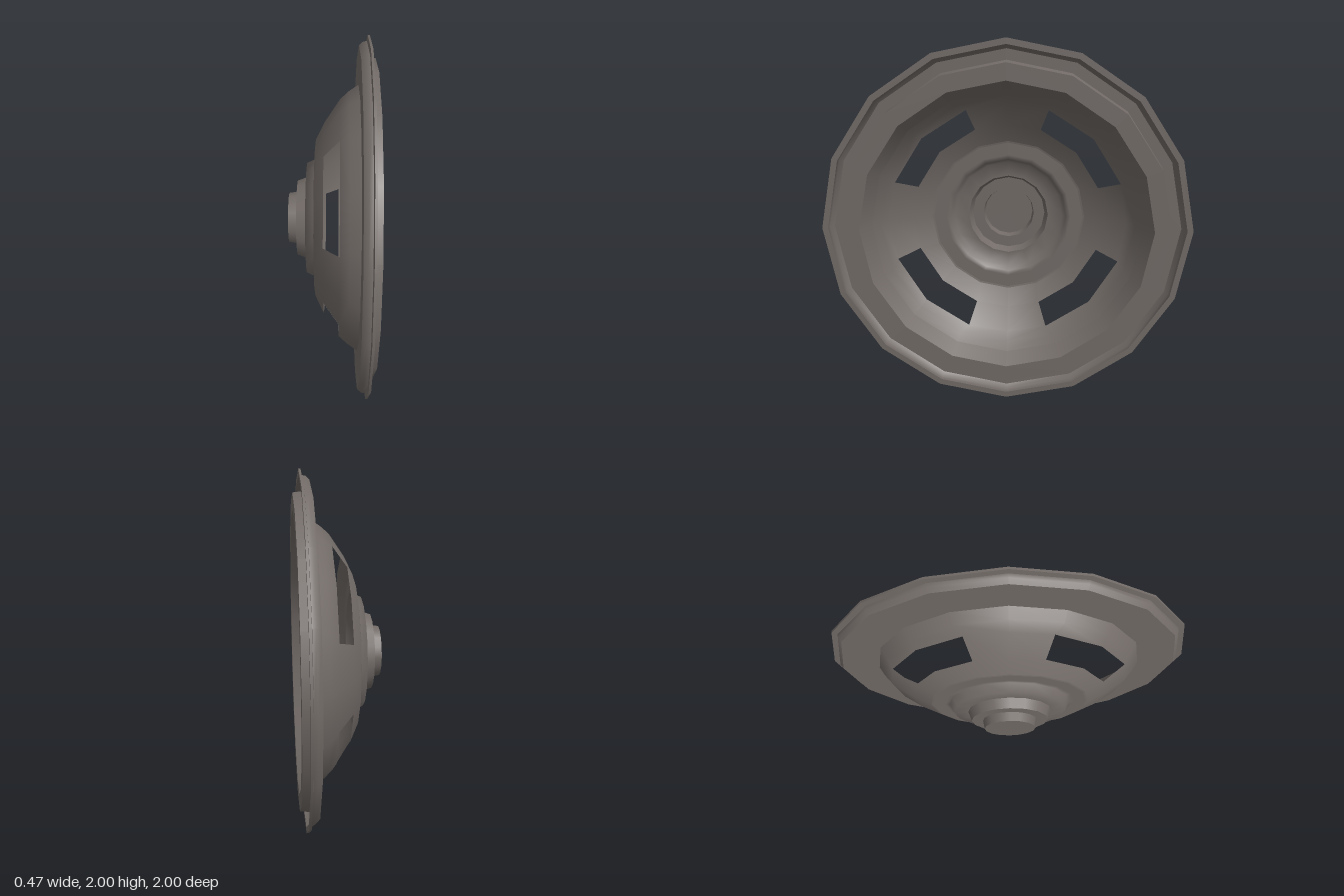
import * as THREE from 'three';

const SIDES = 16;

export function createModel() {
  const group = new THREE.Group();
  const metal = new THREE.MeshStandardMaterial({ color: 0x726b67, side: THREE.DoubleSide });
  metal.name = 'warm dark grey';

  // Profile points are [position along the x axis, radius]
  const lathe = (pts) =>
    new THREE.LatheGeometry(pts.map(([x, r]) => new THREE.Vector2(r, x)), SIDES);

  const add = (name, geo) => {
    geo.rotateZ(-Math.PI / 2);
    geo.translate(0, 1, 0);
    const mesh = new THREE.Mesh(geo, metal);
    mesh.name = name;
    group.add(mesh);
  };

  // Each profile is cut at its sharp edges, so every band keeps its own normals
  const bands = (name, pts) => {
    for (let i = 0; i < pts.length - 1; i++) add(name, lathe([pts[i], pts[i + 1]]));
  };

  // Bowl with four windows, each two facets wide
  const bowlProfile = [[-0.088, 0.44], [-0.04, 0.54], [0.042, 0.663], [0.09, 0.705], [0.143, 0.74]];
  const bowl = lathe(bowlProfile);
  const n = bowlProfile.length;
  const pos = bowl.attributes.position;
  for (let i = 0; i <= SIDES; i++) {
    // widen the windows a little beyond the facet lines
    const shift = i % 4 === 1 ? -0.049 : i % 4 === 3 ? 0.049 : 0;
    const a = (i / SIDES) * Math.PI * 2 + shift;
    for (const j of [1, 2]) {
      const r = bowlProfile[j][1];
      pos.setXYZ(i * n + j, r * Math.sin(a), bowlProfile[j][0], r * Math.cos(a));
    }
  }
  const kept = [];
  for (let i = 0; i < SIDES; i++) {
    for (let j = 0; j < n - 1; j++) {
      if (j === 1 && (i % 4 === 1 || i % 4 === 2)) continue;
      const a = i * n + j, b = a + n;
      kept.push(a, b, a + 1, b + 1, a + 1, b);
    }
  }
  bowl.setIndex(kept);
  add('bowl', bowl);

  // Stepped hub behind the bowl
  bands('hubCap', [[-0.238, 0], [-0.238, 0.141], [-0.19, 0.149]]);
  bands('hubStep', [[-0.19, 0.149], [-0.19, 0.212], [-0.137, 0.231]]);
  add('hubDish', lathe([[-0.137, 0.231], [-0.137, 0.312], [-0.09, 0.333], [-0.09, 0.36]]));
  bands('hubFlange', [[-0.09, 0.36], [-0.09, 0.43], [-0.088, 0.44]]);

  // Mounting rim
  bands('rimPan', [[0.143, 0.74], [0.143, 0.947]]);
  add('rimWall', lathe([[0.143, 0.947], [0.165, 0.966], [0.185, 0.968]]));
  bands('rimLip', [[0.185, 0.968], [0.188, 1], [0.2, 1], [0.2, 0.968], [0.185, 0.968]]);

  // Raised gasket ring on the open side
  bands('gasket', [[0.143, 0.89], [0.233, 0.88], [0.233, 0.79], [0.143, 0.74]]);

  return group;
}
